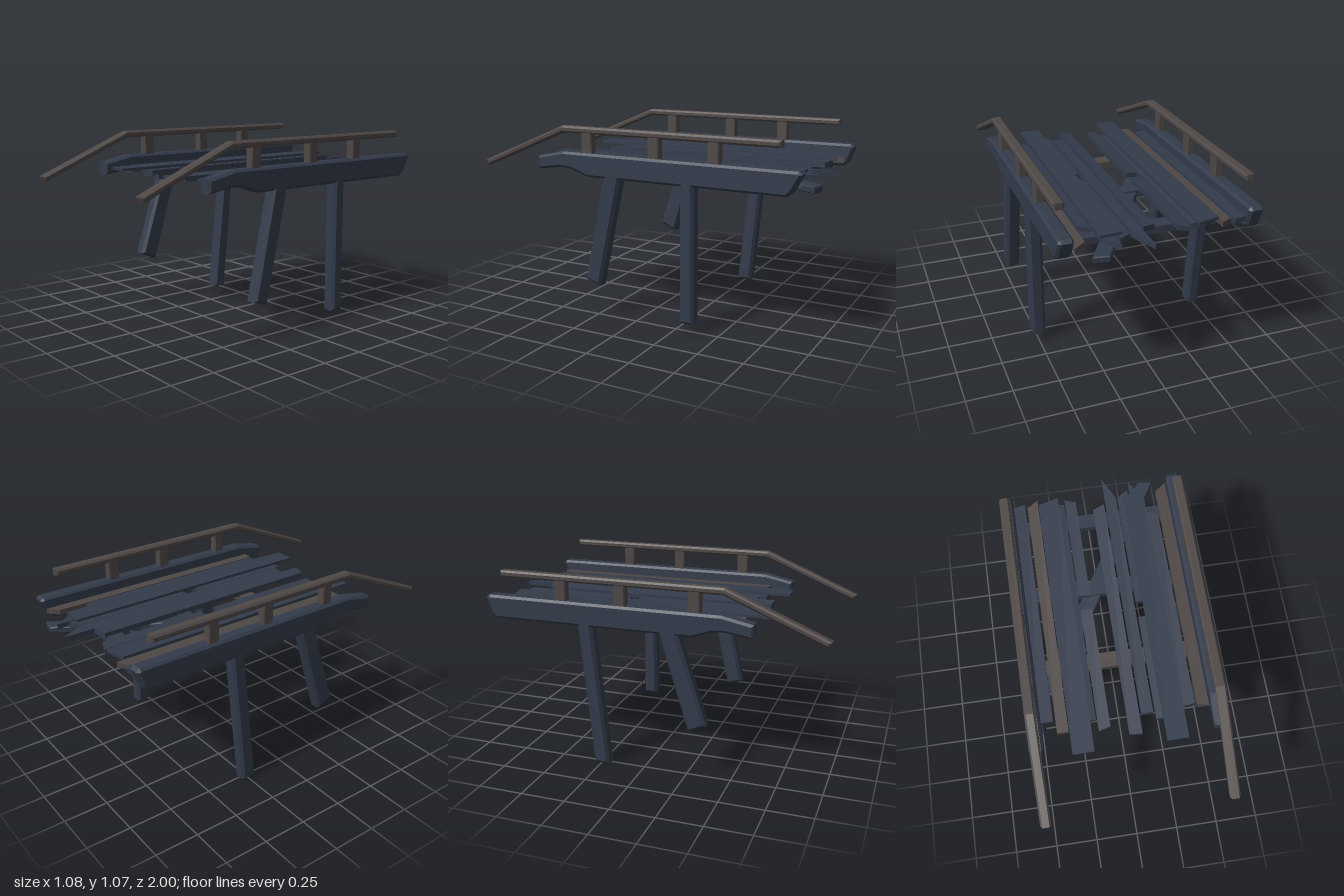
import * as THREE from 'three';

const darkWood = new THREE.MeshStandardMaterial({ color: 0x333b4b });
darkWood.name = 'dark blue-grey wood';
const brownWood = new THREE.MeshStandardMaterial({ color: 0x4e4846 });
brownWood.name = 'weathered brown wood';

export function createModel() {
  const model = new THREE.Group();
  model.name = 'brokenJetty';

  function add(name, geometry, material) {
    const mesh = new THREE.Mesh(geometry, material);
    mesh.name = name;
    model.add(mesh);
    return mesh;
  }

  // Chamfered timber: a side outline of [z, y] points given a width along x
  function timber(name, outline, x, width, chamfer, material) {
    const shape = new THREE.Shape(outline.map(([z, y]) => new THREE.Vector2(z, y)));
    const geometry = new THREE.ExtrudeGeometry(shape, {
      depth: width - 2 * chamfer,
      bevelEnabled: true,
      bevelSegments: 1,
      bevelSize: chamfer,
      bevelThickness: chamfer,
      bevelOffset: -chamfer,
    });
    geometry.translate(0, 0, -(width - 2 * chamfer) / 2);
    geometry.rotateY(-Math.PI / 2);
    geometry.translate(x, 0, 0);
    return add(name, geometry, material);
  }

  // Board with obliquely cut ends: back and front hold z at the -x and +x edge
  function plank(name, [x0, x1], back, front, [y0, y1], tilt = 0, material = darkWood) {
    const geometry = new THREE.BoxGeometry(1, 1, 1);
    const p = geometry.attributes.position;
    for (let i = 0; i < p.count; i++) {
      const side = p.getX(i) > 0 ? 1 : 0;
      const z = (p.getZ(i) > 0 ? front : back)[side];
      const y = (p.getY(i) > 0 ? y1 : y0) + (side - 0.5) * tilt;
      p.setXYZ(i, side ? x1 : x0, y, z);
    }
    geometry.computeVertexNormals();
    return add(name, geometry, material);
  }

  // Side beams, handrails and rail posts
  for (const s of [-1, 1]) {
    const side = s > 0 ? 'left' : 'right';
    const end = s > 0 ? -0.945 : -0.925;
    timber(side + 'Beam', [
      [0.61, 0.82], [0.61, 0.895], [0.44, 0.93], [end + 0.02, 0.93], [end, 0.915],
      [-0.89, 0.82], [-0.865, 0.8], [0.285, 0.8], [0.39, 0.837], [0.46, 0.842],
    ], s * 0.5, 0.08, 0.013, darkWood);
    timber(side + 'Handrail', [
      [0.985, 0.81], [1, 0.842], [0.45, 1.072], [-0.83, 1.072], [-0.83, 1.035], [0.445, 1.035],
    ], s * 0.5, 0.058, 0.01, brownWood);
    for (const z of [0.29, -0.125, -0.47]) {
      timber(side + 'RailPost', [
        [z + 0.033, 0.91], [z + 0.033, 1.05], [z - 0.033, 1.05], [z - 0.033, 0.91],
      ], s * 0.5, 0.05, 0.006, brownWood);
    }
  }

  // Legs, leaning and broken off at different heights
  const legs = [
    ['leftFrontLeg', 0.5, [[0.17, 0.85], [0.31, 0.21], [0.215, 0.18], [0.066, 0.85]]],
    ['rightFrontLeg', -0.5, [[0.19, 0.85], [0.366, 0.31], [0.265, 0.265], [0.085, 0.85]]],
    ['leftBackLeg', 0.5, [[-0.285, 0.85], [-0.285, 0.05], [-0.367, 0.05], [-0.367, 0.85]]],
    ['rightBackLeg', -0.5, [[-0.288, 0.85], [-0.2, 0], [-0.288, 0], [-0.372, 0.85]]],
  ];
  for (const [name, x, outline] of legs) timber(name, outline, x, 0.08, 0.016, darkWood);

  // Cross beams under the deck
  for (const [z, material] of [[-0.745, darkWood], [-0.307, darkWood], [0.135, brownWood]]) {
    timber('crossBeam', [
      [z + 0.043, 0.805], [z + 0.043, 0.843], [z - 0.043, 0.843], [z - 0.043, 0.805],
    ], 0, 0.94, 0.009, material);
  }

  // Diagonal brace
  const outline = [[-0.46, 0.26], [-0.36, 0.3], [0.385, -0.87 - 0.09], [0.3, -0.975]];
  const braceShape = new THREE.Shape(outline.map(([x, z]) => new THREE.Vector2(x, -z)));
  const brace = new THREE.ExtrudeGeometry(braceShape, {
    depth: 0.026, bevelEnabled: true, bevelSegments: 1,
    bevelSize: 0.006, bevelThickness: 0.006, bevelOffset: -0.006,
  });
  brace.rotateX(-Math.PI / 2);
  brace.translate(0, 0.801, 0);
  add('diagonalBrace', brace, darkWood);

  // Deck planks, some snapped in two
  const low = [0.843, 0.871];
  plank('deckPlank', [-0.46, -0.393], [-0.88, -0.895], [0.45, 0.45], low);
  plank('brownDeckPlank', [-0.38, -0.317], [-0.87, -0.91], [0.52, 0.52], low, 0.004, brownWood);
  plank('deckPlank', [-0.305, -0.245], [-0.84, -0.86], [0.46, 0.46], low);
  plank('deckPlank', [-0.23, -0.163], [-0.87, -0.86], [0.48, 0.475], low, -0.004);
  plank('brokenDeckPlank', [-0.157, -0.092], [-0.89, -0.865], [-0.26, -0.25], low, 0.008);
  plank('brokenDeckPlank', [-0.157, -0.092], [-0.17, -0.17], [0.54, 0.525], low, 0.008);
  plank('deckPlank', [0.002, 0.072], [-0.8, -0.825], [0.58, 0.59], low, 0.01);
  plank('splinteredDeckPlank', [0.082, 0.148], [-1, -0.86], [0.48, 0.48], low, 0.005);
  plank('brokenDeckPlank', [0.158, 0.222], [-0.86, -0.9], [-0.175, -0.175], low, 0.004);
  plank('brokenDeckPlank', [0.158, 0.222], [-0.08, -0.08], [0.52, 0.52], low, 0.004);
  plank('splinteredDeckPlank', [0.236, 0.305], [-0.96, -0.85], [0.46, 0.46], low);
  plank('deckPlank', [0.315, 0.378], [-0.74, -0.71], [0.47, 0.465], low, 0.006);
  plank('brownDeckPlank', [0.39, 0.455], [-0.87, -0.92], [0.475, 0.485], low, -0.003, brownWood);

  // Wide boards nailed on top
  plank('topBoard', [-0.313, -0.195], [-0.87, -0.9], [0.65, 0.65], [0.872, 0.887]);
  plank('topBoard', [0.195, 0.313], [-0.86, -0.865], [0.65, 0.65], [0.872, 0.887]);

  return model;
}
